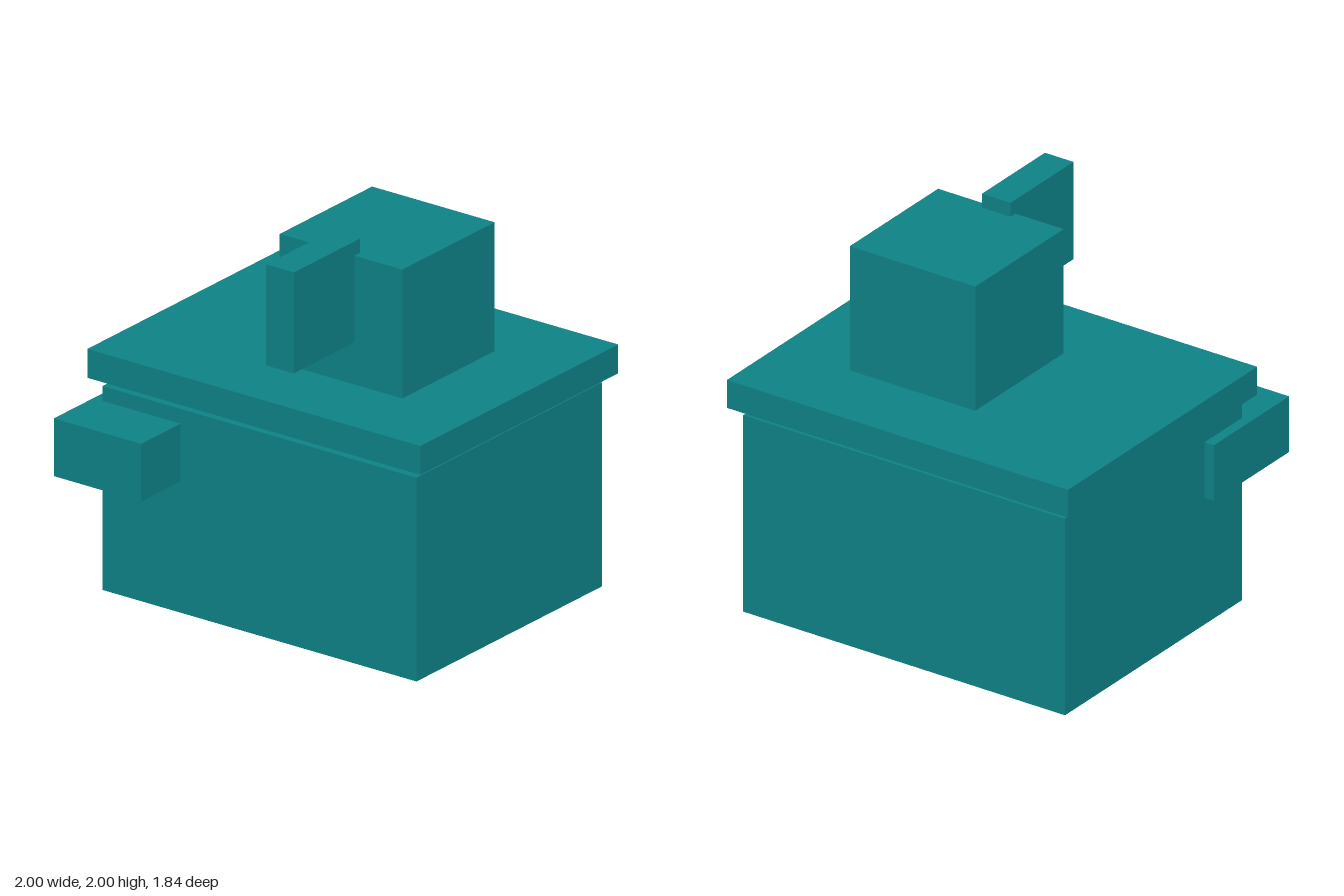
import * as THREE from 'three';

export function createModel() {
  const group = new THREE.Group();
  const teal = new THREE.MeshStandardMaterial({ color: 0x0e8186 });
  teal.name = 'teal';

  // Adds a box spanning the given [min, max] ranges
  function addBox(name, [x0, x1], [y0, y1], [z0, z1]) {
    const mesh = new THREE.Mesh(new THREE.BoxGeometry(x1 - x0, y1 - y0, z1 - z0), teal);
    mesh.position.set((x0 + x1) / 2, (y0 + y1) / 2, (z0 + z1) / 2);
    mesh.name = name;
    group.add(mesh);
  }

  // Main body with a slab floating just above it
  addBox('body', [-0.945, 0.942], [0, 1.06], [-0.868, 0.608]);
  addBox('lid', [-1, 1], [1.105, 1.255], [-0.922, 0.655]);

  // Block on the lid, with a thin fin set into its front
  addBox('topBlock', [-0.16, 0.576], [1.255, 1.925], [-0.5, 0.236]);
  addBox('fin', [0.123, 0.29], [1.475, 2], [0.195, 0.72]);

  // Block jutting out of the front right corner
  addBox('sideBlock', [-1, -0.475], [0.683, 0.983], [0.295, 0.922]);

  return group;
}
